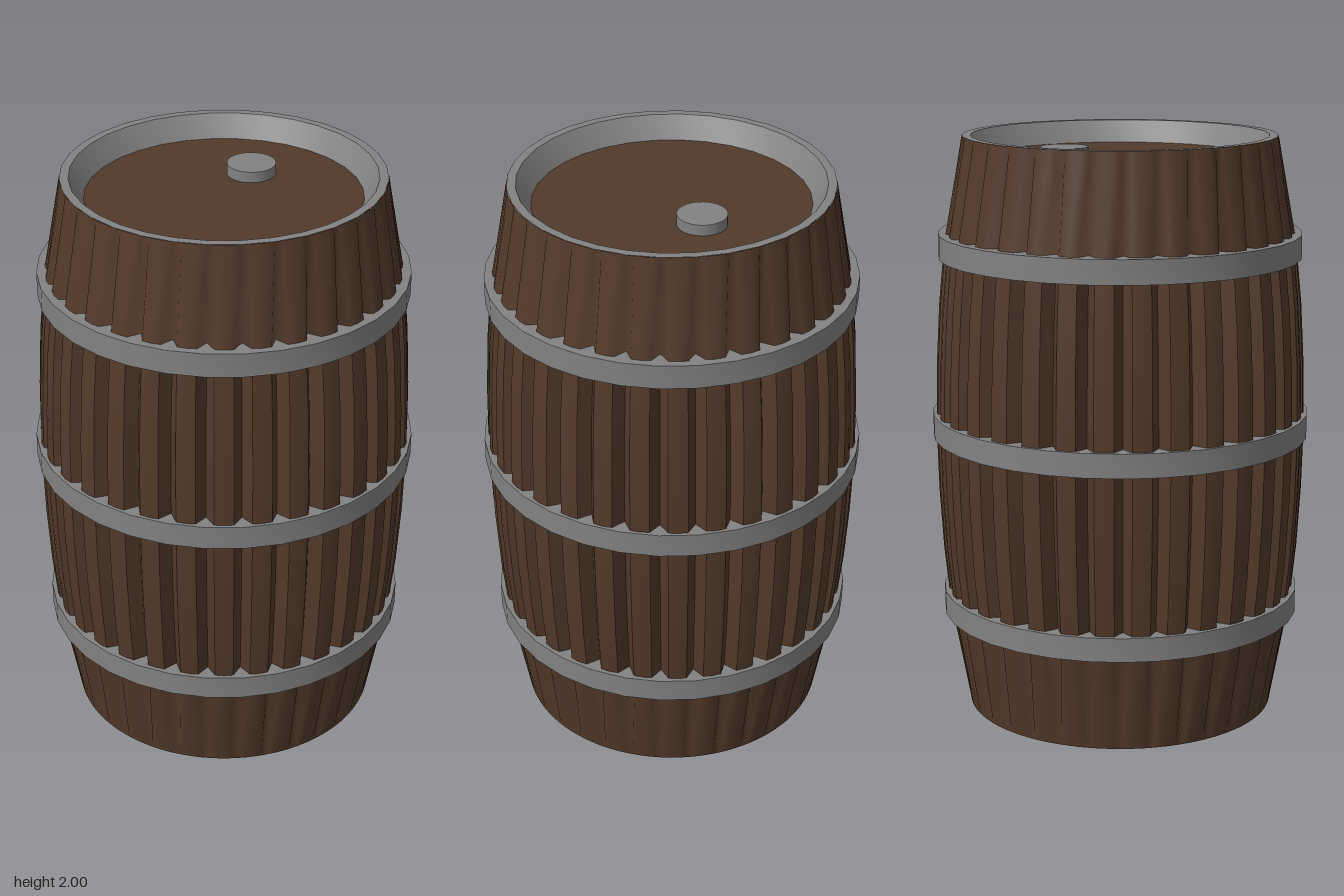
import * as THREE from 'three';
import { toCreasedNormals } from 'three/addons/utils/BufferGeometryUtils.js';

const STAVES = 32;
const wood = new THREE.MeshStandardMaterial({ color: 0x523a2a });
const metal = new THREE.MeshStandardMaterial({ color: 0x828282 });

function add(group, name, geometry, material) {
  const mesh = new THREE.Mesh(geometry, material);
  mesh.name = name;
  group.add(mesh);
  return mesh;
}

// Revolved profile with sharp edges kept
function lathe(points, segments) {
  const profile = points.map(([r, y]) => new THREE.Vector2(r, y));
  return toCreasedNormals(new THREE.LatheGeometry(profile, segments), 0.5);
}

// Band of rounded staves between V grooves; rows are [height, radius, groove depth]
function staveBand(rows, crease) {
  // Fraction across one stave and share of the groove depth there
  const section = [[0, 1], [0.24, 0.06], [0.5, 0], [0.76, 0.06]];
  const n = STAVES * section.length;
  const positions = [], index = [];
  for (const [y, radius, depth] of rows) {
    for (let s = 0; s < STAVES; s++) {
      for (const [t, share] of section) {
        const a = ((s + t) / STAVES) * Math.PI * 2;
        const r = radius - depth * share;
        positions.push(r * Math.sin(a), y, r * Math.cos(a));
      }
    }
  }
  for (let j = 0; j < rows.length - 1; j++) {
    for (let i = 0; i < n; i++) {
      const a = j * n + i, b = j * n + (i + 1) % n;
      index.push(a, b, b + n, a, b + n, a + n);
    }
  }
  const geometry = new THREE.BufferGeometry();
  geometry.setAttribute('position', new THREE.Float32BufferAttribute(positions, 3));
  geometry.setIndex(index);
  return toCreasedNormals(geometry, crease);
}

export function createModel() {
  const barrel = new THREE.Group();
  barrel.name = 'barrel';

  // Crisp staves along the bulge, softly shaded ends where the grooves fade out
  const depth = 0.047;
  const bulge = [
    [0.36, 0.6, depth], [0.57, 0.621, depth], [0.78, 0.633, depth], [1, 0.638, depth],
    [1.22, 0.633, depth], [1.43, 0.621, depth], [1.64, 0.6, depth],
  ];
  add(barrel, 'staves', staveBand(bulge, 0.5), wood);
  add(barrel, 'lowerStaveEnds', staveBand([[0, 0.534, 0], bulge[0]], Math.PI), wood);
  add(barrel, 'upperStaveEnds', staveBand([bulge[6], [2, 0.534, 0]], Math.PI), wood);

  // Flat base and recessed lid
  const base = add(barrel, 'base', new THREE.CircleGeometry(0.534, 64), wood);
  base.rotation.x = Math.PI / 2;
  const lid = add(barrel, 'lid', new THREE.CircleGeometry(0.46, STAVES), wood);
  lid.rotation.x = -Math.PI / 2;
  lid.position.y = 1.925;

  // Metal rim sloping down to the lid
  add(barrel, 'rim', lathe([[0.534, 2], [0.505, 2], [0.455, 1.92]], STAVES), metal);

  // Three hoops: [name, centre height, inner radius, outer radius]
  const hoops = [
    ['lowerHoop', 0.38, 0.545, 0.622],
    ['middleHoop', 1.01, 0.58, 0.65],
    ['upperHoop', 1.63, 0.545, 0.622],
  ];
  for (const [name, y, inner, outer] of hoops) {
    const low = y - 0.041, high = y + 0.041;
    const ring = [[inner, low], [outer, low], [outer, high], [inner, high], [inner, low]];
    add(barrel, name, lathe(ring, STAVES), metal);
  }

  // Bung on the lid, towards the back
  const bung = add(barrel, 'bung', new THREE.CylinderGeometry(0.082, 0.082, 0.05, 32), metal);
  bung.position.set(0, 1.937, -0.193);

  return barrel;
}
